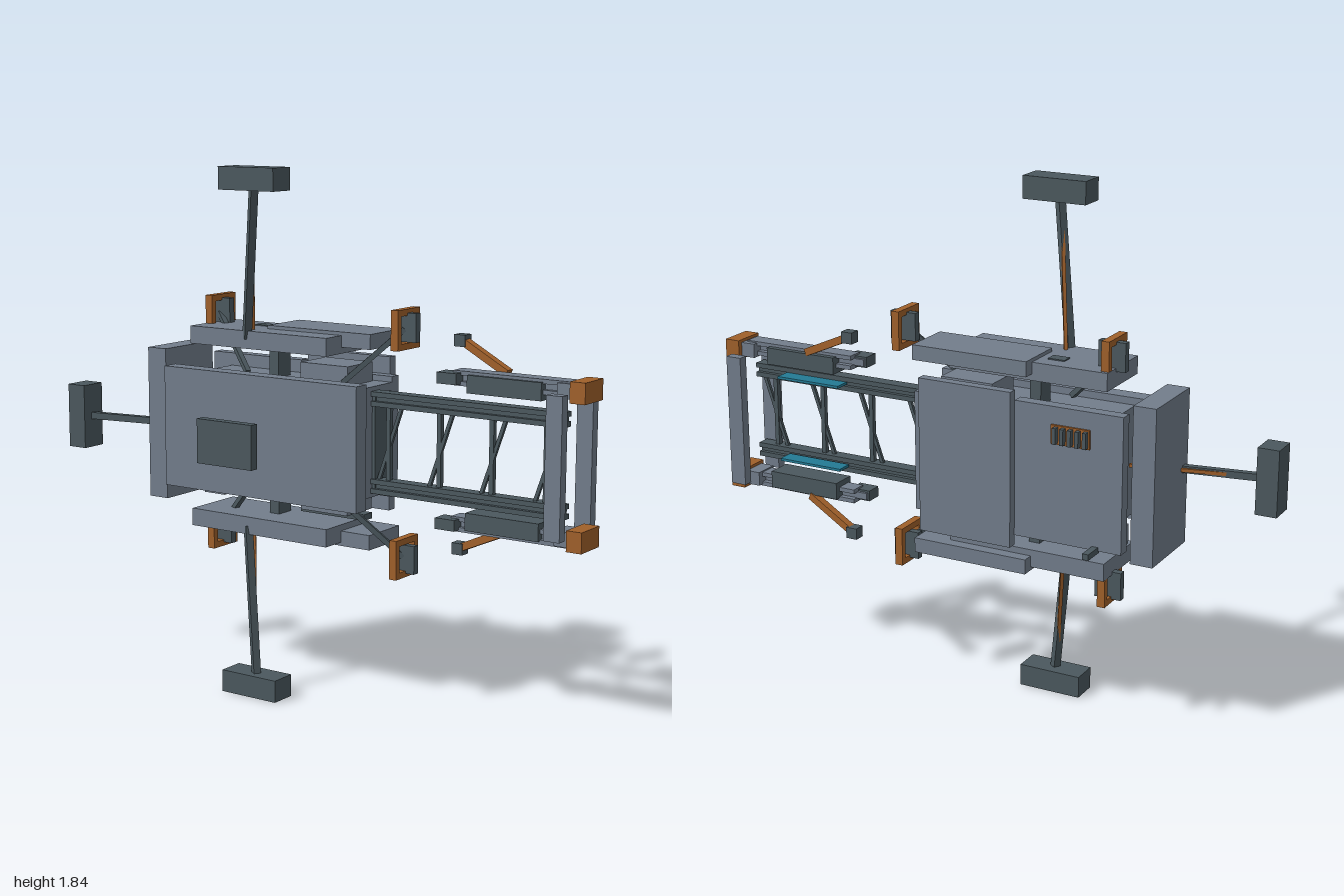
import * as THREE from 'three';

const material = (name, color) => Object.assign(new THREE.MeshStandardMaterial({ color }), { name });

export function createModel() {
  const model = new THREE.Group();
  model.name = 'spacecraft';
  const hull = material('slate hull', 0x727d8b);
  const dark = material('dark metal', 0x4b585e);
  const orange = material('burnt orange', 0xa0602a);
  const teal = material('teal panel', 0x237a94);
  const MID = 0.919; // height of the long axis

  const add = (name, geometry, mat) => {
    const mesh = new THREE.Mesh(geometry, mat);
    mesh.name = name;
    model.add(mesh);
    return mesh;
  };

  // Box given by its limits; y is measured from the long axis
  const box = (name, mat, x0, x1, y0, y1, z0, z1) =>
    add(name, new THREE.BoxGeometry(Math.abs(x1 - x0), Math.abs(y1 - y0), Math.abs(z1 - z0)), mat)
      .position.set((x0 + x1) / 2, MID + (y0 + y1) / 2, (z0 + z1) / 2);

  // Square bar between two points
  const bar = (name, mat, a, b, t) => {
    const p = new THREE.Vector3(a[0], a[1] + MID, a[2]);
    const q = new THREE.Vector3(b[0], b[1] + MID, b[2]);
    const mesh = add(name, new THREE.BoxGeometry(t, t, p.distanceTo(q)), mat);
    mesh.position.copy(p).add(q).multiplyScalar(0.5);
    mesh.lookAt(q);
  };

  // Main hull
  box('core', hull, -0.49, 0.2, -0.19, 0.19, -0.17, 0.06);
  box('frontPlate', hull, -0.57, 0.245, -0.212, 0.215, 0.058, 0.118);
  box('rearPlate', hull, -0.57, -0.18, -0.235, 0.235, -0.208, -0.165);
  box('rearCover', hull, -0.18, 0.165, -0.27, 0.27, -0.24, -0.205);
  box('rearCoverBase', hull, -0.18, 0.2, -0.21, 0.21, -0.206, -0.165);
  box('middleBlock', hull, -0.065, 0.13, -0.257, 0.257, -0.15, 0);
  box('endBlock', hull, -0.67, -0.59, -0.27, 0.27, -0.18, 0.087);
  box('endRecess', dark, 0.19, 0.212, -0.165, 0.165, -0.145, -0.045);
  box('lowerVent', dark, -0.1, 0.165, -0.278, -0.257, -0.1, -0.05);
  box('lowerBlock', hull, -0.52, -0.43, -0.26, -0.19, -0.12, -0.04);

  // Vent and probe on the rear plate
  box('vent', orange, -0.455, -0.315, 0.11, 0.175, -0.216, -0.205);
  for (let i = 0; i < 5; i++)
    box('ventSlat', dark, -0.45 + i * 0.027, -0.437 + i * 0.027, 0.115, 0.17, -0.235, -0.21);
  box('probe', dark, -0.488, -0.466, -0.243, -0.222, -0.28, -0.2);

  // Landing pads on the front and the far end
  bar('frontLeg', dark, [-0.185, 0, 0.1], [-0.185, 0, 0.245], 0.022);
  box('frontPad', dark, -0.3, -0.07, -0.077, 0.077, 0.242, 0.276);
  bar('endLeg', dark, [-0.5, 0, 0.028], [-0.935, 0, 0.1], 0.024);
  bar('endLegBrace', orange, [-0.5, 0, 0], [-0.84, 0, 0.08], 0.012);
  box('endPad', dark, -1, -0.925, -0.115, 0.115, 0.052, 0.148);

  // Everything mirrored above and below the long axis
  for (const s of [1, -1]) {
    // Side pods
    box('sidePod', hull, -0.49, 0.09, s * 0.296, s * 0.358, -0.165, 0.07);
    box('raisedPod', hull, -0.22, 0.207, s * 0.318, s * 0.37, -0.207, -0.02);
    box('podMount', dark, -0.22, -0.18, s * 0.18, s * 0.3, -0.1, -0.03);
    box('podHatch', dark, -0.31, -0.25, s * 0.355, s * 0.362, -0.11, -0.068);

    // Landing legs
    bar('leg', dark, [-0.25, s * 0.33, 0.058], [-0.182, s * 0.85, 0.105], 0.026);
    bar('legBrace', orange, [-0.25, s * 0.35, 0.022], [-0.2, s * 0.74, 0.09], 0.012);
    box('pad', dark, -0.3, -0.07, s * 0.841, s * 0.919, 0.052, 0.148);

    // Square thruster frames on struts
    for (const [x, rootX] of [[0.305, 0.12], [-0.475, -0.28]]) {
      const ring = new THREE.Shape([[-1, -1], [1, -1], [1, 1], [-1, 1]]
        .map(([u, v]) => new THREE.Vector2(u * 0.068, v * 0.068)));
      ring.holes.push(new THREE.Path([[-1, -1], [-1, 1], [1, 1], [1, -1]]
        .map(([u, v]) => new THREE.Vector2(u * 0.046, v * 0.046))));
      const frame = add('thrusterFrame',
        new THREE.ExtrudeGeometry(ring, { depth: 0.028, bevelEnabled: false }).translate(0, 0, -0.014), orange);
      frame.rotation.y = Math.PI / 2;
      frame.position.set(x, MID + s * 0.39, -0.084);
      box('thrusterPlate', dark, x - 0.048, x + 0.048, s * 0.347, s * 0.445, -0.1, -0.074);
      bar('thrusterStrut', dark, [rootX, s * 0.205, 0.015], [x, s * 0.39, -0.08], 0.018);
    }

    // Truss rails
    box('railOuter', dark, 0.2, 0.93, s * 0.158, s * 0.175, -0.085, -0.037);
    box('railInner', dark, 0.2, 0.93, s * 0.125, s * 0.142, -0.085, -0.037);
    box('railWeb', dark, 0.2, 0.93, s * 0.14, s * 0.16, -0.07, -0.052);
    box('tealPanel', teal, 0.55, 0.8, s * 0.148, s * 0.157, -0.14, -0.08);

    // Side booms with channel section
    box('boomOuter', hull, 0.5, 0.93, s * 0.255, s * 0.27, -0.13, -0.07);
    box('boomInner', hull, 0.5, 0.93, s * 0.22, s * 0.235, -0.13, -0.07);
    box('boomWeb', hull, 0.46, 0.93, s * 0.233, s * 0.257, -0.11, -0.085);
    box('boomEnd', dark, 0.455, 0.53, s * 0.226, s * 0.264, -0.1, -0.04);
    box('boomMotor', dark, 0.56, 0.835, s * 0.2, s * 0.26, -0.15, -0.058);
    bar('boomArm', orange, [0.475, s * 0.353, -0.178], [0.67, s * 0.265, -0.14], 0.026);
    box('boomArmTip', dark, 0.45, 0.492, s * 0.335, s * 0.375, -0.198, -0.157);
    box('endBumper', orange, 0.942, 0.997, s * 0.205, s * 0.275, -0.168, -0.047);
    box('bumperMount', hull, 0.89, 0.945, s * 0.215, s * 0.265, -0.15, -0.06);
  }

  // Truss rungs and diagonals
  for (let i = 0; i < 4; i++) {
    const x = 0.26 + i * 0.2;
    box('rung', dark, x - 0.008, x + 0.008, -0.13, 0.13, -0.07, -0.052);
    bar('diagonal', dark, [x - 0.04, -0.13, -0.06], [x + 0.05, 0.13, -0.06], 0.012);
  }

  // Posts across the end of the truss
  box('endPostFront', hull, 0.89, 0.948, -0.235, 0.235, -0.026, 0.01);
  box('endPostRear', hull, 0.89, 0.948, -0.235, 0.235, -0.235, -0.2);

  return model;
}
